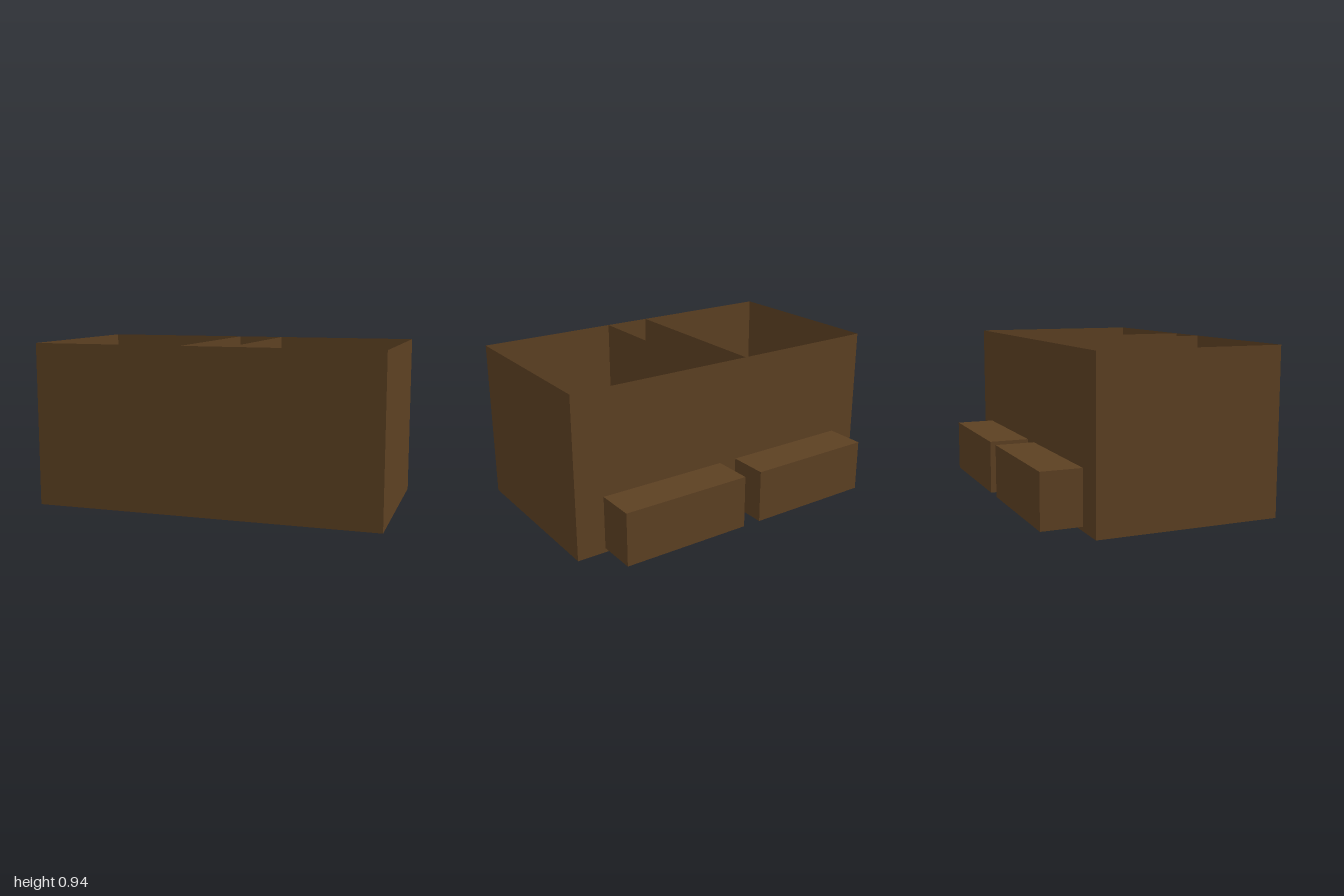
import * as THREE from 'three';

const HEIGHT = 0.945, FRONT = 0.65, BACK = -0.415;
const DEPTH = FRONT - BACK, MID_Z = (FRONT + BACK) / 2;

export function createModel() {
  const model = new THREE.Group();
  model.name = 'dividedBin';
  const brown = new THREE.MeshStandardMaterial({ color: 0x5c4022, side: THREE.DoubleSide });
  brown.name = 'brown';

  const add = (name, geometry, x, y, z) => {
    const mesh = new THREE.Mesh(geometry, brown);
    mesh.name = name;
    mesh.position.set(x, y, z);
    model.add(mesh);
  };

  // Open-topped bin made of thin sheets
  const longWall = new THREE.PlaneGeometry(2, HEIGHT);
  const crossWall = new THREE.PlaneGeometry(DEPTH, HEIGHT).rotateY(Math.PI / 2);
  add('frontWall', longWall, 0, HEIGHT / 2, FRONT);
  add('backWall', longWall.clone().rotateY(Math.PI), 0, HEIGHT / 2, BACK);
  add('leftWall', crossWall, 1, HEIGHT / 2, MID_Z);
  add('rightWall', crossWall.clone().rotateY(Math.PI), -1, HEIGHT / 2, MID_Z);
  add('floor', new THREE.PlaneGeometry(2, DEPTH).rotateX(Math.PI / 2), 0, 0, MID_Z);

  // Two full-height dividers, slightly off centre
  add('leftDivider', crossWall, 0.165, HEIGHT / 2, MID_Z);
  add('rightDivider', crossWall, -0.115, HEIGHT / 2, MID_Z);

  // Two low blocks that pass through the back wall
  const block = new THREE.BoxGeometry(0.775, 0.31, 0.33);
  for (const side of [1, -1]) {
    add(side > 0 ? 'leftBackBlock' : 'rightBackBlock', block, side * 0.443, 0.18, -0.485);
  }
  return model;
}
